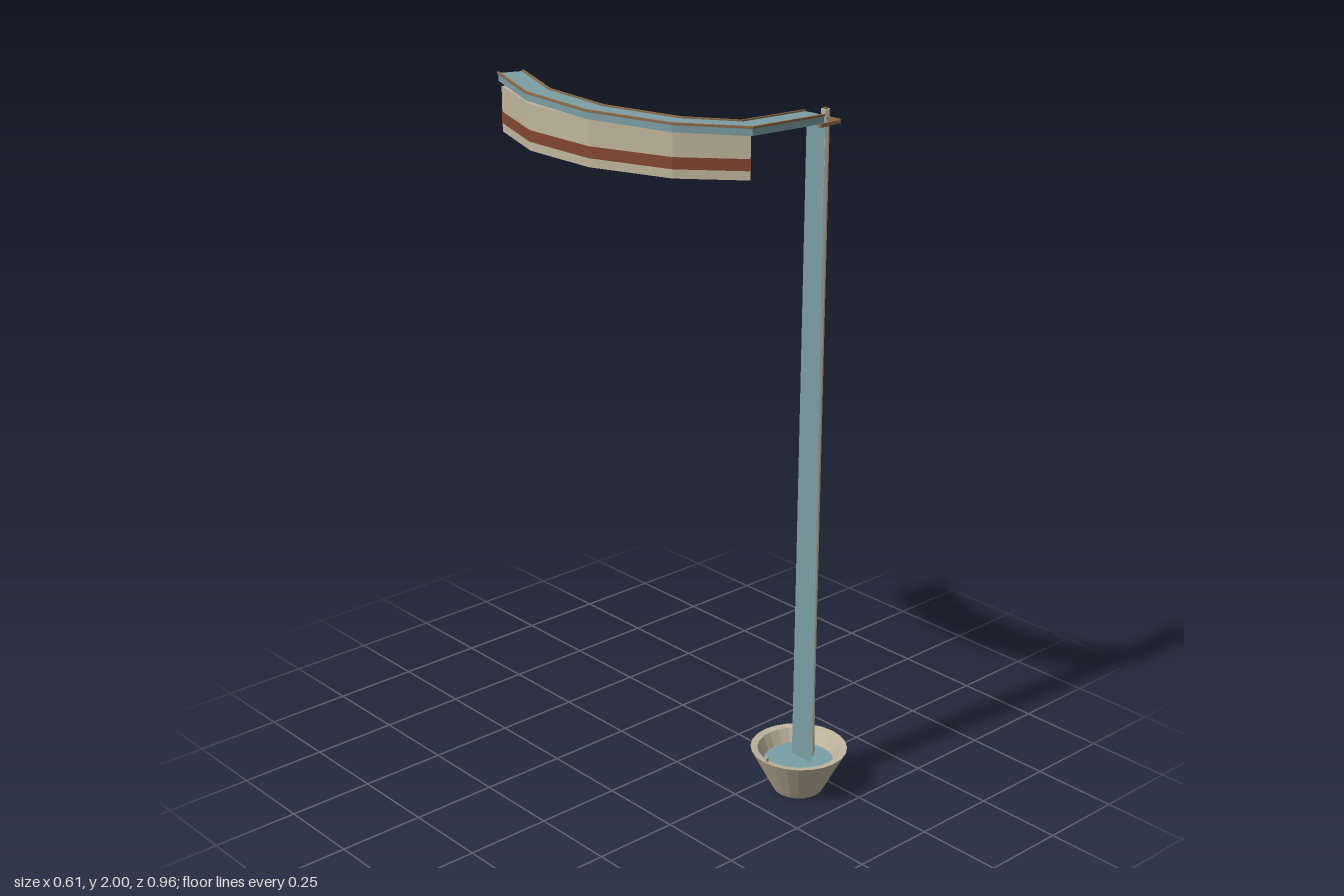
import * as THREE from 'three';

const mat = (name, color, extra = {}) => {
  const m = new THREE.MeshStandardMaterial({ color, flatShading: true, ...extra });
  m.name = name;
  return m;
};

// Plan of the channel, from its far end to its spout: [x, z]
const PATH = [[-0.187, -0.466], [-0.267, -0.247], [-0.267, -0.015], [-0.188, 0.205], [-0.068, 0.338], [0.17, 0.338]];
const TOPS = [2.0, 1.994, 1.987, 1.98, 1.975, 1.968];

// Mitred sideways direction at each path point
function sideways(path) {
  const dirs = path.slice(1).map((p, i) => new THREE.Vector2(p[0] - path[i][0], p[1] - path[i][1]).normalize());
  return path.map((_, i) => {
    const a = dirs[Math.max(i - 1, 0)], b = dirs[Math.min(i, dirs.length - 1)];
    const t = a.clone().add(b).normalize();
    return new THREE.Vector2(t.y, -t.x).divideScalar(t.dot(a));
  });
}
const SIDE = sideways(PATH);

// Rectangular bar swept along the first `count` path points, between offsets a and b
function sweep(count, a, b, bottom, top, capped = true) {
  const rings = PATH.slice(0, count).map(([x, z], i) => {
    const at = (o, y) => [x + SIDE[i].x * o, y, z + SIDE[i].y * o];
    return [at(a, bottom(i)), at(b, bottom(i)), at(b, top(i)), at(a, top(i))];
  });
  const pos = [];
  const quad = (p, q, r, s) => pos.push(...p, ...q, ...r, ...p, ...r, ...s);
  for (let i = 0; i < count - 1; i++) {
    for (let k = 0; k < 4; k++) {
      const n = (k + 1) % 4;
      quad(rings[i][k], rings[i][n], rings[i + 1][n], rings[i + 1][k]);
    }
  }
  if (capped) {
    const s = rings[0], e = rings[count - 1];
    quad(s[3], s[2], s[1], s[0]);
    quad(e[0], e[1], e[2], e[3]);
  }
  const g = new THREE.BufferGeometry();
  g.setAttribute('position', new THREE.Float32BufferAttribute(pos, 3));
  g.computeVertexNormals();
  return g;
}

export function createModel() {
  const model = new THREE.Group();
  model.name = 'waterChannelAndBasin';

  const stone = mat('stone', 0xc0b59d);
  const water = mat('water', 0x7a9fa6);
  const sheet = mat('fallingWater', 0x7a9fa6, { side: THREE.DoubleSide });
  const wood = mat('wood', 0x8c6c48);
  const brick = mat('brick', 0x824632);

  const add = (name, geometry, material, x = 0, y = 0, z = 0) => {
    const m = new THREE.Mesh(geometry, material);
    m.name = name;
    m.position.set(x, y, z);
    model.add(m);
    return m;
  };
  const box = (name, w, h, d, material, x, y, z) => add(name, new THREE.BoxGeometry(w, h, d), material, x, y, z);

  // Sloping channel with thin wooden rims
  const top = i => TOPS[i];
  add('channelWater', sweep(6, -0.0345, 0.0345, i => top(i) - 0.025, i => top(i) - 0.004), water);
  for (const s of [-1, 1]) {
    const [a, b] = [0.032 * s, 0.038 * s].sort((p, q) => p - q);
    add('channelRim', sweep(6, a, b, i => top(i) - 0.006, top), wood);
  }

  // Supporting wall with a brick band
  add('wall', sweep(5, -0.026, 0.026, () => 1.835, () => 1.96), stone);
  add('wallBand', sweep(5, -0.0275, 0.0275, () => 1.859, () => 1.89, false), brick);

  // Falling water
  const fall = new THREE.Shape();
  fall.moveTo(0.302, 0.09);
  fall.lineTo(0.382, 0.09);
  fall.lineTo(0.372, 1.962);
  fall.lineTo(0.306, 1.962);
  const fallGeo = new THREE.ShapeGeometry(fall);
  fallGeo.rotateY(-Math.PI / 2);
  add('waterfall', fallGeo, sheet, 0.174, 0, 0);

  // Pole with a slightly wider foot
  add('pole', new THREE.CylinderGeometry(0.0115, 0.0115, 1.88, 8), stone, 0.21, 1.03, 0.338);
  add('poleFoot', new THREE.CylinderGeometry(0.0125, 0.0135, 0.18, 8), stone, 0.21, 0.17, 0.338);
  box('polePin', 0.009, 0.006, 0.009, wood, 0.21, 1.971, 0.338);

  // Fork that holds the spout
  box('forkCrossbar', 0.007, 0.009, 0.108, wood, 0.209, 1.947, 0.338);
  for (const s of [-1, 1]) {
    box('forkArm', 0.07, 0.009, 0.007, wood, 0.177, 1.945, 0.338 + 0.05 * s);
    box('forkHook', 0.026, 0.009, 0.01, wood, 0.155, 1.943, 0.338 + 0.045 * s);
  }

  // Basin
  const profile = [[0, 0], [0.07, 0], [0.078, 0.014], [0.138, 0.13], [0.118, 0.127], [0.094, 0.075]];
  add('basin', new THREE.LatheGeometry(profile.map(p => new THREE.Vector2(...p)), 24), stone, 0.165, 0, 0.338);
  const pool = new THREE.CircleGeometry(0.1, 24);
  pool.rotateX(-Math.PI / 2);
  add('basinWater', pool, water, 0.165, 0.088, 0.338);
  box('basinPeg', 0.008, 0.016, 0.008, stone, 0.037, 0.134, 0.338);

  return model;
}
